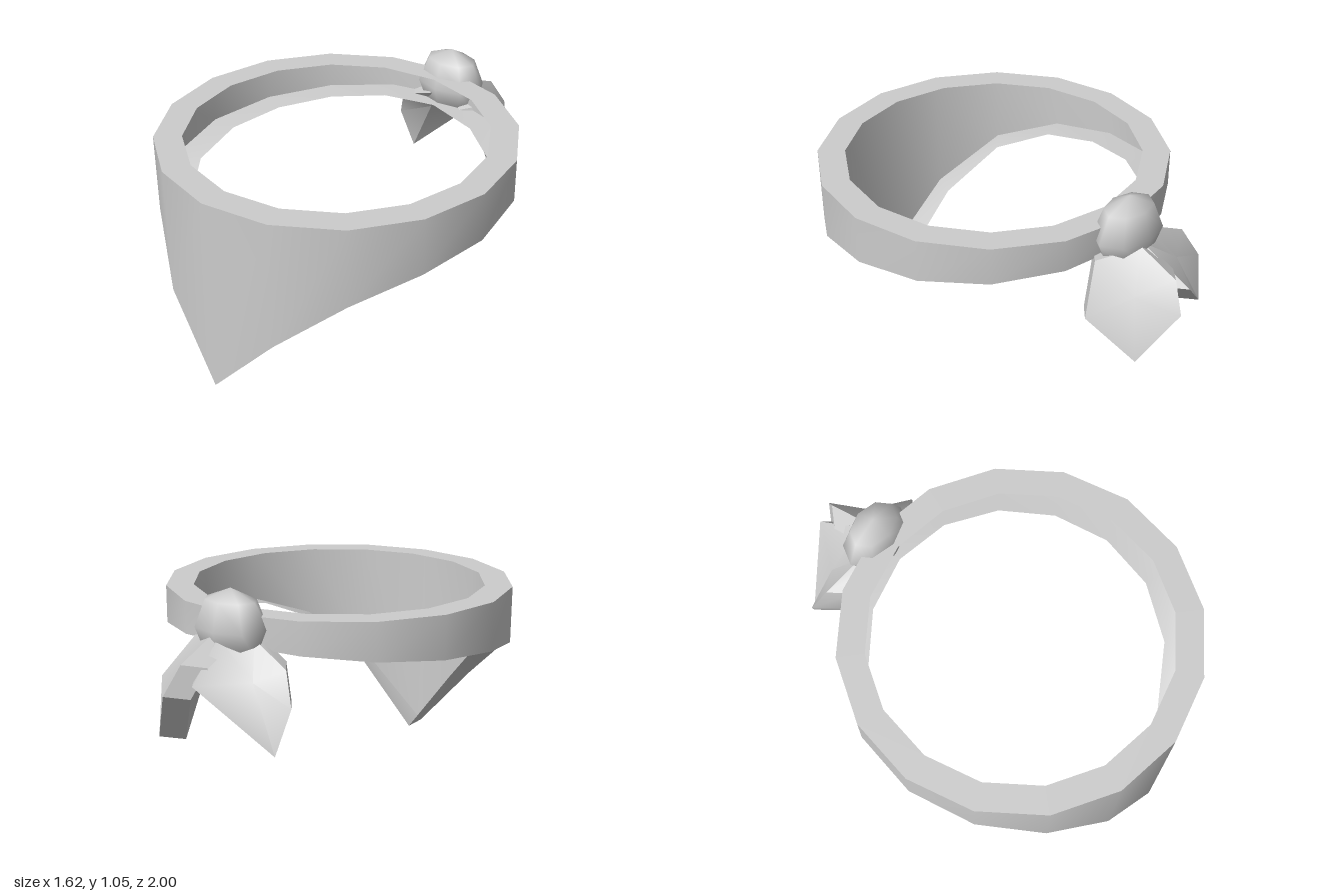
import * as THREE from 'three';
import { toCreasedNormals } from 'three/addons/utils/BufferGeometryUtils.js';

const cloth = new THREE.MeshStandardMaterial({ color: 0xcccccc, side: THREE.DoubleSide });
cloth.name = 'cloth';

function makeMesh(name, positions, indices, crease) {
  const geo = new THREE.BufferGeometry();
  geo.setAttribute('position', new THREE.Float32BufferAttribute(positions, 3));
  geo.setIndex(indices);
  const mesh = new THREE.Mesh(toCreasedNormals(geo, crease), cloth);
  mesh.name = name;
  return mesh;
}

// Sixteen-sided band whose hem drops to a point at the front; a wall with
// a top and a bottom flange, open towards the neck
function neckBand() {
  const sides = 16, centreZ = 0.185, outer = 0.812, inner = 0.685, top = 0.94;
  const hem = [0, 0.335, 0.57, 0.675, 0.715, 0.74, 0.765, 0.79, 0.805];
  const pos = [], idx = [];
  for (let i = 0; i < sides; i++) {
    const a = (i / sides) * Math.PI * 2;
    const low = hem[Math.min(i, sides - i)];
    for (const [r, y] of [[inner, low], [outer, low], [outer, top], [inner, top]]) {
      pos.push(Math.sin(a) * r, y, centreZ + Math.cos(a) * r);
    }
    const here = i * 4, next = ((i + 1) % sides) * 4;
    for (let k = 0; k < 3; k++) {
      idx.push(here + k, next + k, next + k + 1, here + k, next + k + 1, here + k + 1);
    }
  }
  return makeMesh('neckBand', pos, idx, 0.6);
}

// Thick cloth end: an outline counter-clockwise from outside, plus a thickness vector
function tail(name, outline, thickness) {
  const n = outline.length;
  const centre = [0, 1, 2].map((c) => outline.reduce((s, p) => s + p[c], 0) / n);
  const face = [...outline, centre];
  const pos = [...face, ...face.map((p) => p.map((v, c) => v + thickness[c]))].flat();
  const idx = [], back = n + 1;
  for (let i = 0; i < n; i++) {
    const j = (i + 1) % n;
    idx.push(n, i, j, back + n, back + j, back + i);
    idx.push(i, back + i, back + j, i, back + j, j);
  }
  return makeMesh(name, pos, idx, 0.7);
}

export function createModel() {
  const group = new THREE.Group();
  group.name = 'neckerchief';
  group.add(neckBand());

  // Knot at the back
  const knot = new THREE.Mesh(new THREE.SphereGeometry(1, 8, 4), cloth);
  knot.name = 'knot';
  knot.scale.set(0.18, 0.17, 0.125);
  knot.position.set(0, 0.885, -0.633);
  group.add(knot);

  // Two loose ends below the knot
  group.add(tail('leftTail', [
    [0.2, 0.82, -0.63], [0.335, 0.63, -0.705], [0.206, 0.425, -0.88],
    [0.07, 0.66, -1.0], [0.03, 0.785, -0.93], [0.03, 0.86, -0.74],
  ], [-0.08, -0.02, 0.08]));
  group.add(tail('rightTail', [
    [0, 0.86, -0.72], [-0.045, 0.71, -0.95], [-0.34, 0.42, -0.79],
    [-0.385, 0.62, -0.735], [-0.32, 0.76, -0.68], [-0.12, 0.85, -0.63],
  ], [0.08, 0, 0.11]));
  return group;
}
